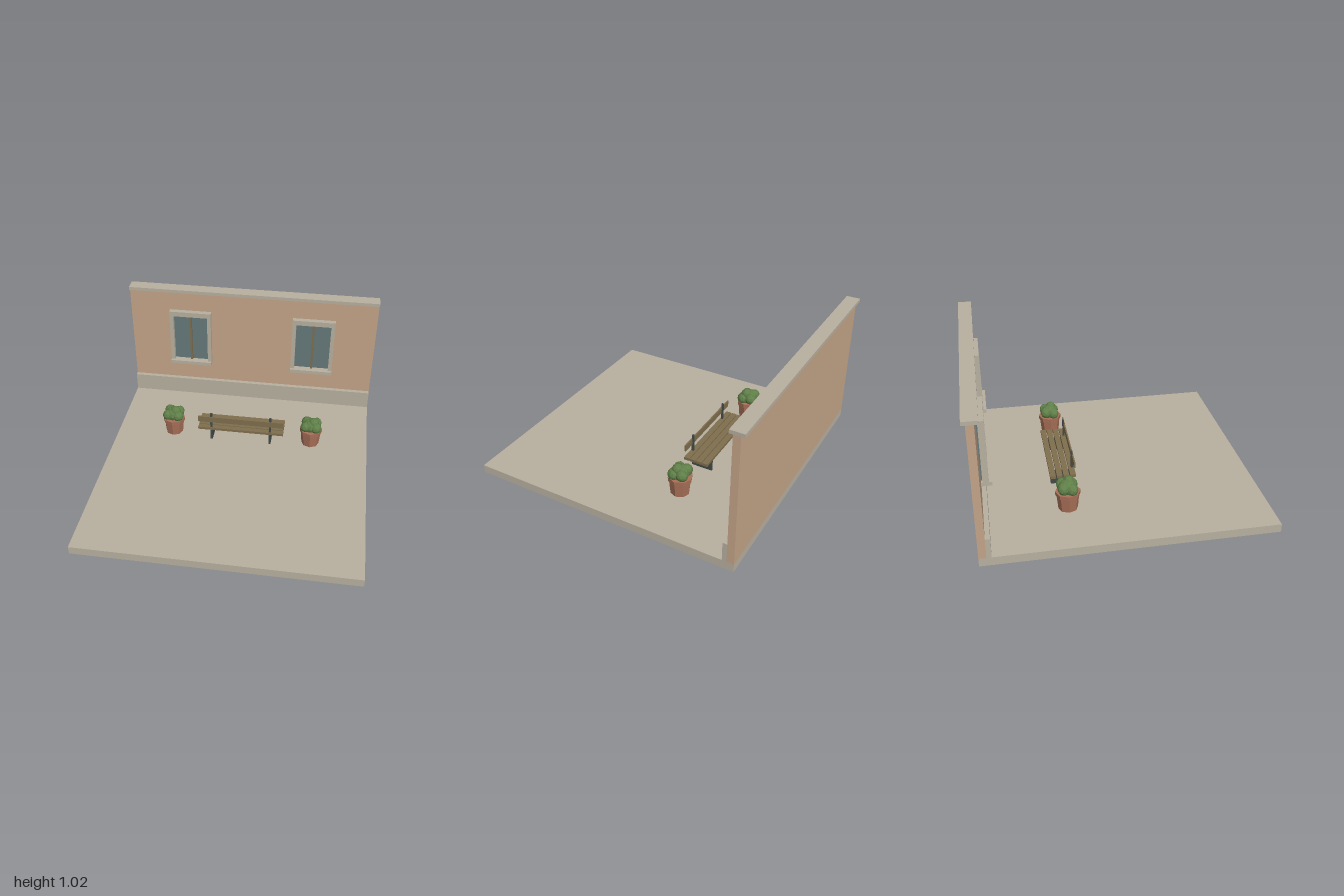
import * as THREE from 'three';

const paint = (color) => new THREE.MeshStandardMaterial({ color, flatShading: true });
const stone = paint(0xb8b0a0), plaster = paint(0xc4a488), glass = paint(0x667878);
const wood = paint(0x7f6e4e), iron = paint(0x424a46), clay = paint(0xa87058), leaf = paint(0x5f7f48);

function add(parent, name, geometry, material, x = 0, y = 0, z = 0) {
  const mesh = new THREE.Mesh(geometry, material);
  mesh.name = name;
  mesh.position.set(x, y, z);
  parent.add(mesh);
  return mesh;
}

// Box given by its limits on each axis
function box(parent, name, material, [x0, x1], [y0, y1], [z0, z1]) {
  return add(parent, name, new THREE.BoxGeometry(x1 - x0, y1 - y0, z1 - z0), material,
    (x0 + x1) / 2, (y0 + y1) / 2, (z0 + z1) / 2);
}

function group(parent, name, x = 0, y = 0, z = 0) {
  const g = new THREE.Group();
  g.name = name;
  g.position.set(x, y, z);
  parent.add(g);
  return g;
}

function addWindow(parent, name, x) {
  const g = group(parent, name, x);
  const depth = [-0.913, -0.872];
  box(g, 'windowGlass', glass, [-0.14, 0.14], [0.4, 0.81], [-0.922, -0.908]);
  box(g, 'windowLintel', stone, [-0.168, 0.168], [0.805, 0.845], depth);
  box(g, 'windowSill', stone, [-0.168, 0.168], [0.375, 0.402], [-0.922, -0.85]);
  box(g, 'windowJambRight', stone, [-0.168, -0.138], [0.402, 0.805], depth);
  box(g, 'windowJambLeft', stone, [0.138, 0.168], [0.402, 0.805], depth);
  box(g, 'windowMullion', wood, [-0.008, 0.008], [0.402, 0.805], [-0.908, -0.89]);
}

function addPlanter(parent, name, x) {
  const g = group(parent, name, x, 0.06, -0.357);
  add(g, 'pot', new THREE.CylinderGeometry(0.08, 0.067, 0.125, 8), clay, 0, 0.0625, 0);
  add(g, 'potRim', new THREE.CylinderGeometry(0.087, 0.085, 0.03, 8), clay, 0, 0.122, 0);
  // Overlapping faceted clumps of leaves: x, y, z, radius
  const clumps = [
    [0, 0.165, 0, 0.066], [0.018, 0.198, 0.012, 0.042], [-0.04, 0.165, 0.025, 0.044],
    [0.04, 0.165, 0.03, 0.044], [-0.032, 0.172, -0.03, 0.046], [0.038, 0.168, -0.032, 0.044],
  ];
  clumps.forEach(([cx, cy, cz, r], i) => {
    const clump = add(g, 'foliage', new THREE.IcosahedronGeometry(r, 1), leaf, cx, cy, cz);
    clump.rotation.set(i * 0.7, i * 1.3, i * 0.4);
    clump.scale.y = 0.9;
  });
}

export function createModel() {
  const model = new THREE.Group();
  model.name = 'courtyard';
  const width = [-0.985, 0.985];

  // Paving and house wall
  box(model, 'paving', stone, width, [0, 0.06], [-0.975, 1]);
  box(model, 'wall', plaster, width, [0.06, 1], [-0.975, -0.925]);
  box(model, 'plinth', stone, width, [0.06, 0.2], [-0.926, -0.893]);
  box(model, 'coping', stone, width, [1, 1.025], [-1, -0.9]);

  // Windows and potted shrubs
  for (const side of [-1, 1]) {
    const label = side > 0 ? 'Left' : 'Right';
    addWindow(model, 'window' + label, side * 0.495);
    addPlanter(model, 'planter' + label, side * 0.543);
  }

  // Bench facing the wall
  const bench = group(model, 'bench');
  const span = [-0.333, 0.333];
  for (let i = 0; i < 4; i++) {
    const z = -0.432 + i * 0.047;
    box(bench, 'seatSlat', wood, span, [0.16, 0.18], [z - 0.02, z + 0.02]);
  }
  box(bench, 'backSlat', wood, span, [0.232, 0.28], [-0.284, -0.274]);
  for (const x of [-0.23, 0.23]) {
    box(bench, 'benchLeg', iron, [x - 0.008, x + 0.008], [0.06, 0.16], [-0.44, -0.285]);
    box(bench, 'backPost', iron, [x - 0.008, x + 0.008], [0.16, 0.31], [-0.293, -0.279]);
  }
  return model;
}
